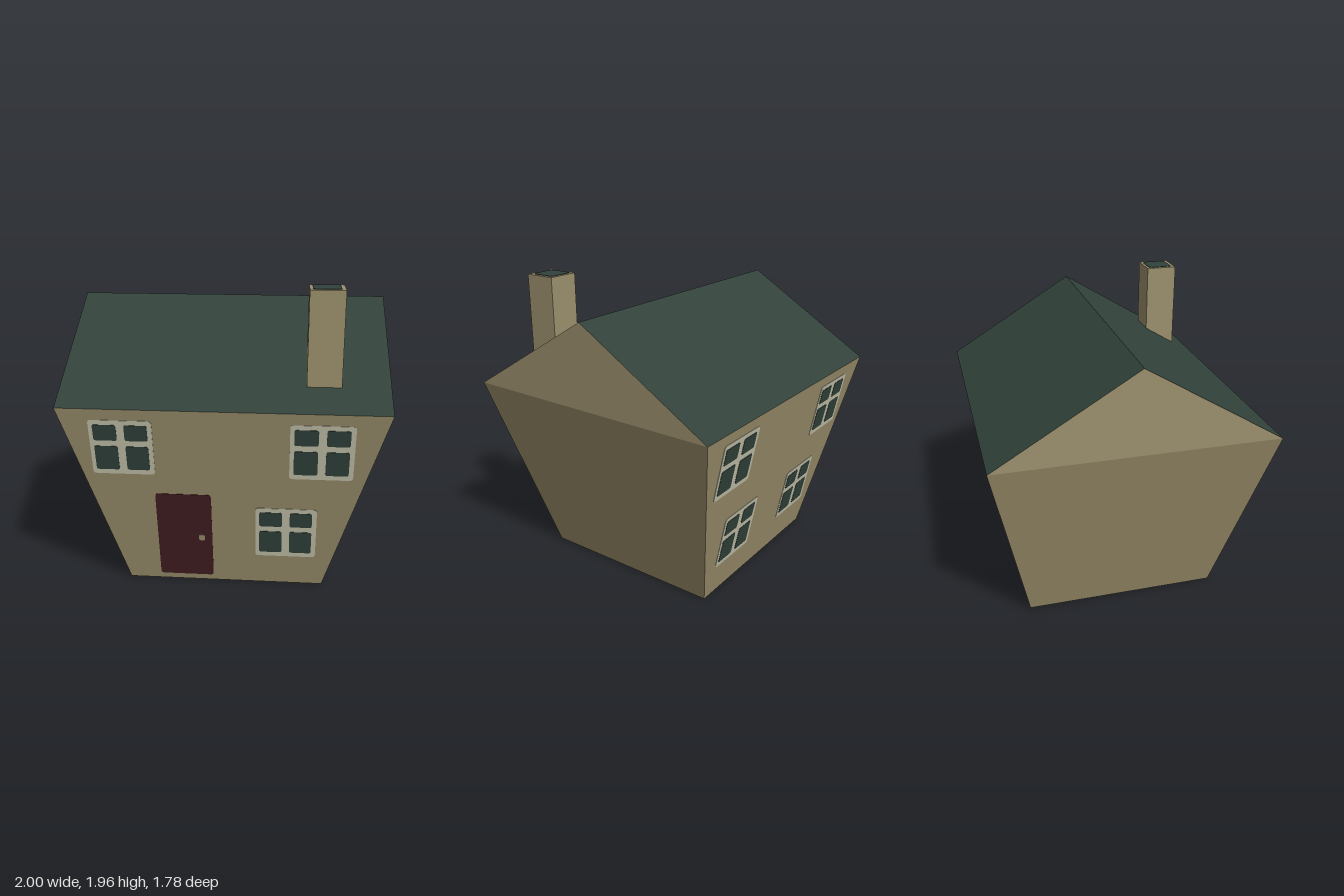
import * as THREE from 'three';

const BASE = 0.637, EAVE_Y = 1.27, EAVE_Z = 0.89, RIDGE_Y = 1.81;
const TILT = Math.atan2(EAVE_Z - BASE, EAVE_Y);

function material(name, color, side = THREE.FrontSide) {
  const m = new THREE.MeshStandardMaterial({ color, side });
  m.name = name;
  return m;
}

function named(mesh, name) {
  mesh.name = name;
  return mesh;
}

// Flat convex panel from corners listed anticlockwise as seen from outside
function panel(name, corners, mat) {
  const geo = new THREE.BufferGeometry();
  geo.setAttribute('position', new THREE.Float32BufferAttribute(corners.flat(), 3));
  const index = [];
  for (let i = 1; i < corners.length - 1; i++) index.push(0, i, i + 1);
  geo.setIndex(index);
  geo.computeVertexNormals();
  return named(new THREE.Mesh(geo, mat), name);
}

// Thin rounded plate centred on z = 0, so it shows on both faces of a wall
function plate(name, x0, x1, y0, y1, r, depth, mat) {
  const s = new THREE.Shape();
  s.moveTo(x0 + r, y0);
  s.lineTo(x1 - r, y0);
  s.quadraticCurveTo(x1, y0, x1, y0 + r);
  s.lineTo(x1, y1 - r);
  s.quadraticCurveTo(x1, y1, x1 - r, y1);
  s.lineTo(x0 + r, y1);
  s.quadraticCurveTo(x0, y1, x0, y1 - r);
  s.lineTo(x0, y0 + r);
  s.quadraticCurveTo(x0, y0, x0 + r, y0);
  const geo = new THREE.ExtrudeGeometry(s, { depth, bevelEnabled: false, curveSegments: 4 });
  geo.translate(0, 0, -depth / 2);
  return named(new THREE.Mesh(geo, mat), name);
}

export function createModel() {
  const house = named(new THREE.Group(), 'house');
  const wall = material('wallTan', 0x9c906d, THREE.DoubleSide);
  const slate = material('slateGreen', 0x32423b, THREE.DoubleSide);
  const frame = material('frameCream', 0xc8c5ae);
  const red = material('doorRed', 0x421e22);

  // Walls that lean outwards, gables and roof; the underside is open
  for (const s of [1, -1]) {
    const front = s > 0;
    house.add(panel(front ? 'frontWall' : 'backWall', [
      [-s * BASE, 0, s * BASE], [s * BASE, 0, s * BASE],
      [s, EAVE_Y, s * EAVE_Z], [-s, EAVE_Y, s * EAVE_Z]], wall));
    house.add(panel(front ? 'leftWall' : 'rightWall', [
      [s * BASE, 0, s * BASE], [s * BASE, 0, -s * BASE],
      [s, EAVE_Y, -s * EAVE_Z], [s, EAVE_Y, s * EAVE_Z]], wall));
    house.add(panel(front ? 'leftGable' : 'rightGable', [
      [s, EAVE_Y, s * EAVE_Z], [s, EAVE_Y, -s * EAVE_Z], [s, RIDGE_Y, 0]], wall));
    house.add(panel(front ? 'frontRoof' : 'backRoof', [
      [-s, EAVE_Y, s * EAVE_Z], [s, EAVE_Y, s * EAVE_Z],
      [s, RIDGE_Y, 0], [-s, RIDGE_Y, 0]], slate));
  }

  // Window with four panes, the upper pair shorter
  function windowAt(x, y) {
    const g = named(new THREE.Group(), 'window');
    g.add(plate('windowFrame', -0.193, 0.193, -0.187, 0.187, 0.022, 0.005, frame));
    for (const [x0, x1] of [[-0.168, -0.024], [0.024, 0.164]]) {
      g.add(plate('upperPane', x0, x1, 0.049, 0.156, 0.014, 0.009, slate));
      g.add(plate('lowerPane', x0, x1, -0.155, 0.01, 0.014, 0.009, slate));
    }
    g.position.set(x, y, 0);
    return g;
  }

  // Details lie in the plane of the leaning wall
  function details(name, parts, turn) {
    const plane = new THREE.Group();
    plane.add(...parts);
    plane.position.z = BASE;
    plane.rotation.x = TILT;
    plane.scale.y = 1 / Math.cos(TILT);
    const g = named(new THREE.Group(), name);
    g.add(plane);
    g.rotation.y = turn;
    house.add(g);
  }

  const knob = plate('doorKnob', -0.165, -0.125, 0.328, 0.372, 0.016, 0.0095, wall);
  details('frontDetails', [
    windowAt(-0.612, 1.01), windowAt(0.599, 1.01), windowAt(0.393, 0.41),
    plate('door', -0.43, -0.078, 0.042, 0.682, 0.022, 0.005, red), knob], 0);
  details('backDetails', [
    windowAt(-0.612, 1.01), windowAt(0.599, 1.01),
    windowAt(-0.393, 0.41), windowAt(0.393, 0.41)], Math.PI);

  // Chimney, its foot cut to the slope of the front roof
  const top = 1.96, geo = new THREE.BoxGeometry(0.21, 1, 0.21);
  const p = geo.attributes.position;
  for (let i = 0; i < p.count; i++) {
    const z = p.getZ(i) + 0.605;
    const roofY = RIDGE_Y - (RIDGE_Y - EAVE_Y) * z / EAVE_Z;
    p.setXYZ(i, p.getX(i) + 0.602, p.getY(i) > 0 ? top : roofY + 0.002, z);
  }
  geo.computeVertexNormals();
  house.add(named(new THREE.Mesh(geo, wall), 'chimney'));

  const flue = plate('chimneyOpening', -0.084, 0.084, -0.084, 0.084, 0.028, 0.006, slate);
  flue.rotation.x = -Math.PI / 2;
  flue.position.set(0.6, top, 0.602);
  house.add(flue);

  return house;
}
